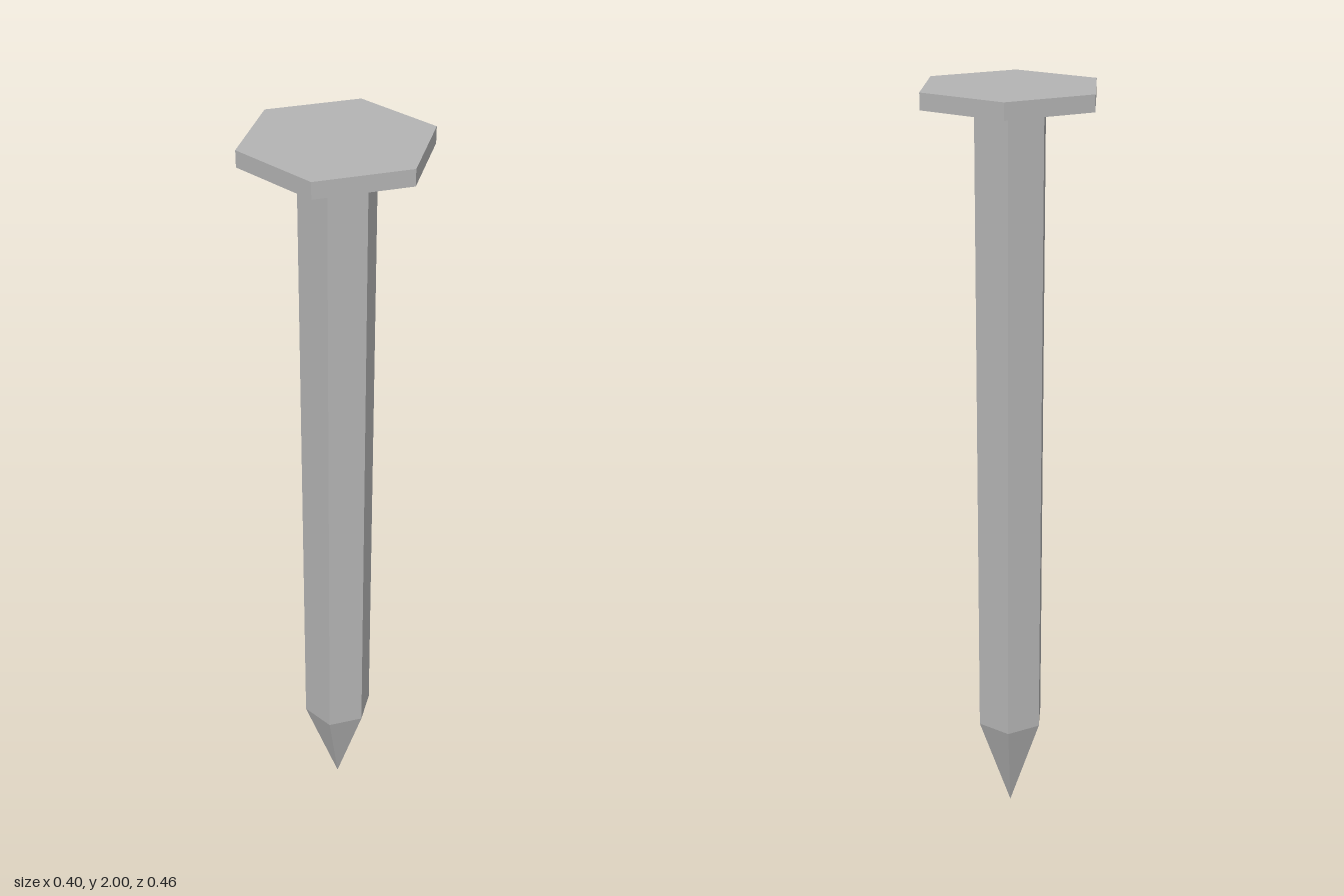
import * as THREE from 'three';

export function createModel() {
  const model = new THREE.Group();
  model.name = 'nail';
  const steel = new THREE.MeshStandardMaterial({ color: 0xb4b4b4, flatShading: true });
  steel.name = 'steel grey';

  // Hexagonal prism or taper spanning two heights, corners on the z axis
  function addHex(name, topRadius, bottomRadius, bottom, top, open) {
    const geometry = new THREE.CylinderGeometry(topRadius, bottomRadius, top - bottom, 6, 1, open);
    const mesh = new THREE.Mesh(geometry, steel);
    mesh.name = name;
    mesh.position.y = (bottom + top) / 2;
    model.add(mesh);
  }

  addHex('head', 0.23, 0.23, 1.96, 2, false);
  addHex('shank', 0.094, 0.094, 0.28, 1.96, true);
  addHex('point', 0.094, 0, 0, 0.28, true);

  return model;
}
